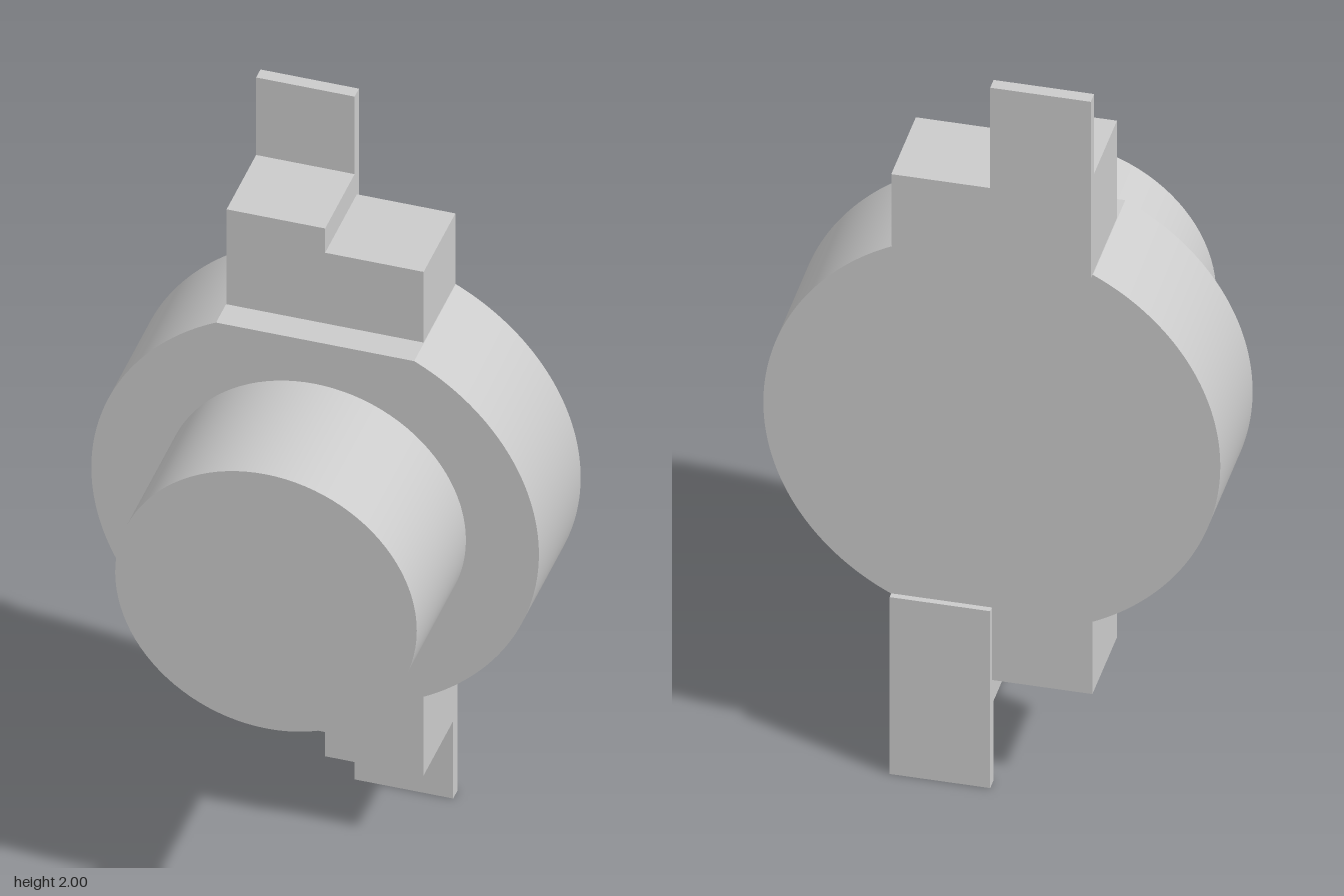
import * as THREE from 'three';
import { toCreasedNormals } from 'three/addons/utils/BufferGeometryUtils.js';

export function createModel() {
  const model = new THREE.Group();
  model.name = 'knobWithTabs';
  const material = new THREE.MeshStandardMaterial({ color: 0xcccccc });

  const BACK = -0.337;      // rear face of disc and blocks
  const FLAT = 0.495;       // distance of the disc flats from its axis
  const HALF = 0.243;       // half width of the blocks
  const RADIUS = 0.552;

  function add(parent, name, geometry) {
    const mesh = new THREE.Mesh(geometry, material);
    mesh.name = name;
    parent.add(mesh);
    return mesh;
  }

  function extrude(shape, z0, z1, curveSegments = 48) {
    const g = new THREE.ExtrudeGeometry(shape, { depth: z1 - z0, bevelEnabled: false, curveSegments });
    g.translate(0, 0, z0);
    return toCreasedNormals(g, 0.4);
  }

  // Everything is built around the axis, then raised to y = 1
  const body = new THREE.Group();
  body.name = 'body';
  body.position.y = 1;
  model.add(body);

  // Disc with a flat at top and bottom
  const a = Math.asin(FLAT / RADIUS);
  const disc = new THREE.Shape();
  disc.absarc(0, 0, RADIUS, -a, a, false);
  disc.absarc(0, 0, RADIUS, Math.PI - a, Math.PI + a, false);
  disc.closePath();
  add(body, 'disc', extrude(disc, BACK, -0.02));

  // Round boss on the front
  const boss = new THREE.CylinderGeometry(0.372, 0.372, 0.373, 96);
  boss.rotateX(Math.PI / 2);
  add(body, 'boss', boss).position.z = 0.1665;

  // Stepped block and thin tab, repeated half a turn around the axis
  const step = new THREE.Shape([
    [-HALF, FLAT], [HALF, FLAT], [HALF, 0.702], [0, 0.702], [0, 0.773], [-HALF, 0.773],
  ].map(([x, y]) => new THREE.Vector2(x, y)));

  ['upper', 'lower'].forEach((side, i) => {
    const lug = new THREE.Group();
    lug.name = side + 'Lug';
    lug.rotation.z = i * Math.PI;
    body.add(lug);
    add(lug, 'steppedBlock', extrude(step, BACK, -0.096));
    const tab = add(lug, 'tab', new THREE.BoxGeometry(HALF, 1 - FLAT, 0.033));
    tab.position.set(-HALF / 2, (1 + FLAT) / 2, -0.3365);
  });

  return model;
}
